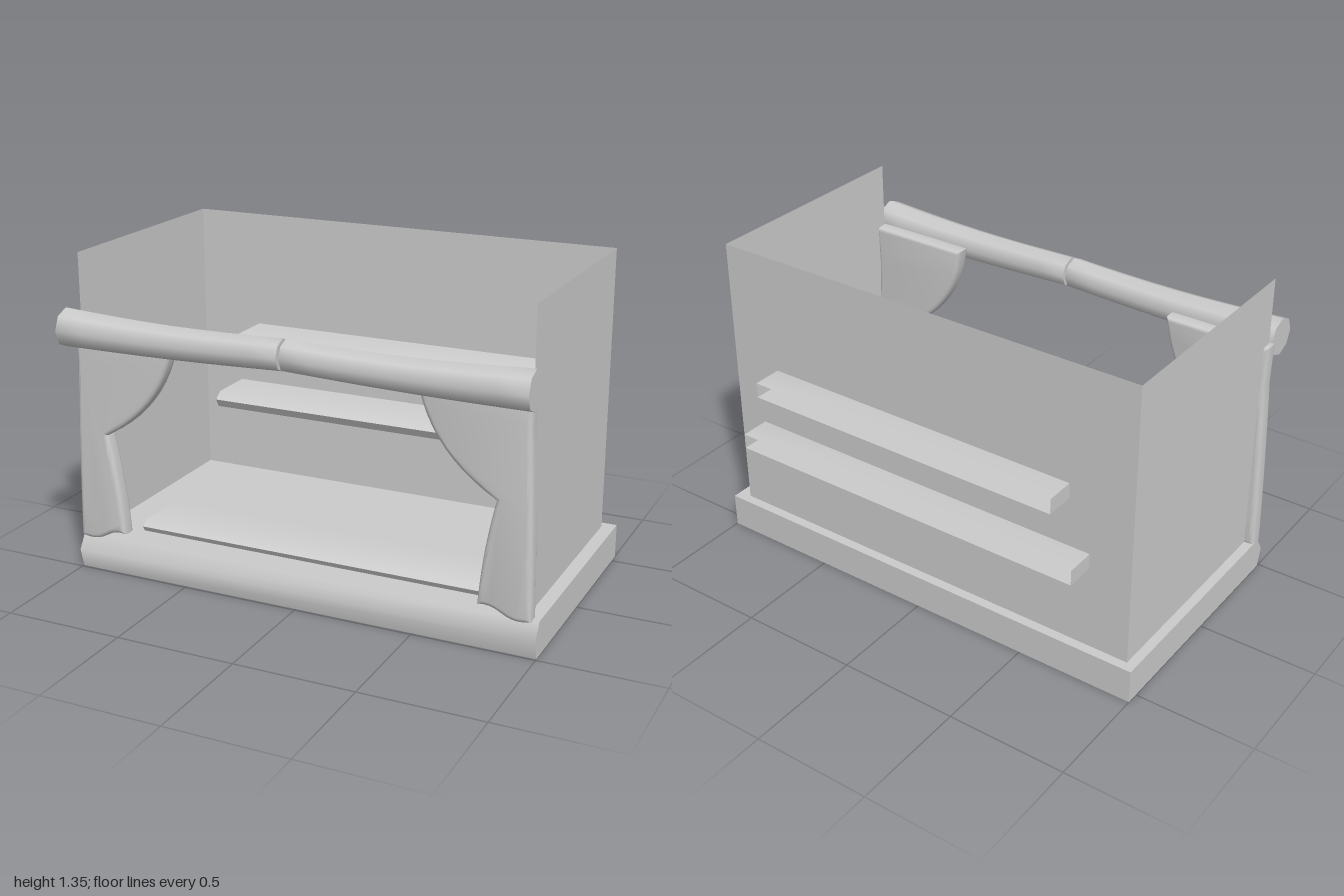
import * as THREE from 'three';
import { toCreasedNormals } from 'three/addons/utils/BufferGeometryUtils.js';

const material = new THREE.MeshStandardMaterial({ color: 0xcccccc, side: THREE.DoubleSide });

function addMesh(parent, name, geometry) {
  const mesh = new THREE.Mesh(geometry, material);
  mesh.name = name;
  parent.add(mesh);
  return mesh;
}

// Extrudes a [z, y] profile along x from x0 to x1
function extrudeAlongX(profile, x0, x1) {
  const shape = new THREE.Shape(profile.map(([z, y]) => new THREE.Vector2(-z, y)));
  const geometry = new THREE.ExtrudeGeometry(shape, { depth: x1 - x0, bevelEnabled: false });
  geometry.rotateY(Math.PI / 2).translate(x0, 0, 0);
  return toCreasedNormals(geometry, 0.9);
}

// Board with a rounded nose at the front
const noseBoard = (x0, x1, back, front, y0, y1, nose) => extrudeAlongX([
  [back, y0], [front - nose * 0.5, y0], [front, y0 + (y1 - y0) * 0.55],
  [front - nose, y1], [back, y1],
], x0, x1);

// Drops the faces lying in the plane z = plane, leaving that side open
function openSide(geometry, plane) {
  const p = geometry.attributes.position, n = geometry.attributes.normal;
  const positions = [], normals = [];
  for (let i = 0; i < p.count; i += 3) {
    if ([0, 1, 2].every((k) => Math.abs(p.getZ(i + k) - plane) < 1e-4)) continue;
    for (let k = i; k < i + 3; k++) {
      positions.push(p.getX(k), p.getY(k), p.getZ(k));
      normals.push(n.getX(k), n.getY(k), n.getZ(k));
    }
  }
  const result = new THREE.BufferGeometry();
  result.setAttribute('position', new THREE.Float32BufferAttribute(positions, 3));
  result.setAttribute('normal', new THREE.Float32BufferAttribute(normals, 3));
  return result;
}

// Curtain tied back at mid height; side is -1 or 1
function curtainGeometry(side) {
  const X = (x) => (side < 0 ? -x : x - 0.027);
  const s = new THREE.Shape();
  s.moveTo(X(0.98), 1.065);
  s.lineTo(X(0.525), 1.065);
  s.lineTo(X(0.54), 0.98);
  s.quadraticCurveTo(X(0.60), 0.74, X(0.85), 0.6);
  s.quadraticCurveTo(X(0.80), 0.4, X(0.785), 0.175);
  s.bezierCurveTo(X(0.89), 0.19, X(0.88), 0.11, X(1.0), 0.14);
  s.quadraticCurveTo(X(0.995), 0.5, X(0.975), 0.9);
  const geometry = new THREE.ExtrudeGeometry(s, {
    depth: 0.034, bevelThickness: 0.018, bevelSize: 0.018, bevelOffset: -0.018,
    bevelSegments: 3, curveSegments: 10,
  });
  geometry.translate(0, 0, 0.443);
  return toCreasedNormals(geometry, 0.7);
}

// Eight-sided roll whose radius and height vary along its length
function rollGeometry(x0, x1) {
  const geometry = new THREE.CylinderGeometry(1, 1, 1, 8, 8);
  geometry.rotateZ(-Math.PI / 2);
  const p = geometry.attributes.position;
  for (let i = 0; i < p.count; i++) {
    const x = THREE.MathUtils.lerp(x0, x1, p.getX(i) + 0.5);
    const t = Math.min(1, Math.abs(x) / 0.975);
    const dip = Math.sin(Math.PI * t);
    const radius = 0.064 + 0.016 * t - 0.004 * dip;
    const centre = 1.065 - 0.005 * t - 0.01 * dip;
    p.setXYZ(i, x, centre + p.getY(i) * radius, 0.555 + p.getZ(i) * radius);
  }
  return toCreasedNormals(geometry, 0.9);
}

export function createModel() {
  const model = new THREE.Group();
  model.name = 'stage';

  // Base with a rounded front lip
  addMesh(model, 'base', noseBoard(-1, 1, -0.55, 0.51, 0, 0.145, 0.04));

  // Thin walls, open at the front and top
  const walls = new THREE.Group();
  walls.name = 'walls';
  model.add(walls);
  const [left, right, back, front, bottom, top] = [0.945, -0.96, -0.51, 0.47, 0.14, 1.345];
  const height = top - bottom, midY = (top + bottom) / 2;
  addMesh(walls, 'backWall', new THREE.PlaneGeometry(left - right, height))
    .position.set((left + right) / 2, midY, back);
  for (const [name, x] of [['leftWall', left], ['rightWall', right]]) {
    const wall = addMesh(walls, name, new THREE.PlaneGeometry(front - back, height));
    wall.rotation.y = Math.sign(x) * Math.PI / 2;
    wall.position.set(x, midY, (front + back) / 2);
  }

  // Shelves through the back wall, hollow and open at the rear
  for (const [name, x0, x1, y0, y1] of [
    ['upperShelf', -0.685, 0.72, 0.78, 0.845],
    ['lowerShelf', -0.78, 0.815, 0.505, 0.57],
  ]) {
    addMesh(model, name, openSide(noseBoard(x0, x1, -0.635, -0.27, y0, y1, 0.04), -0.635));
  }

  // Low step on the floor
  addMesh(model, 'floorStep', noseBoard(-0.78, 0.775, 0.12, 0.365, 0.14, 0.19, 0.03));

  // Curtains and the two-part roll above them
  addMesh(model, 'leftCurtain', curtainGeometry(1));
  addMesh(model, 'rightCurtain', curtainGeometry(-1));
  addMesh(model, 'leftRoll', rollGeometry(0.007, 0.98));
  addMesh(model, 'rightRoll', rollGeometry(-0.97, -0.005));

  return model;
}
